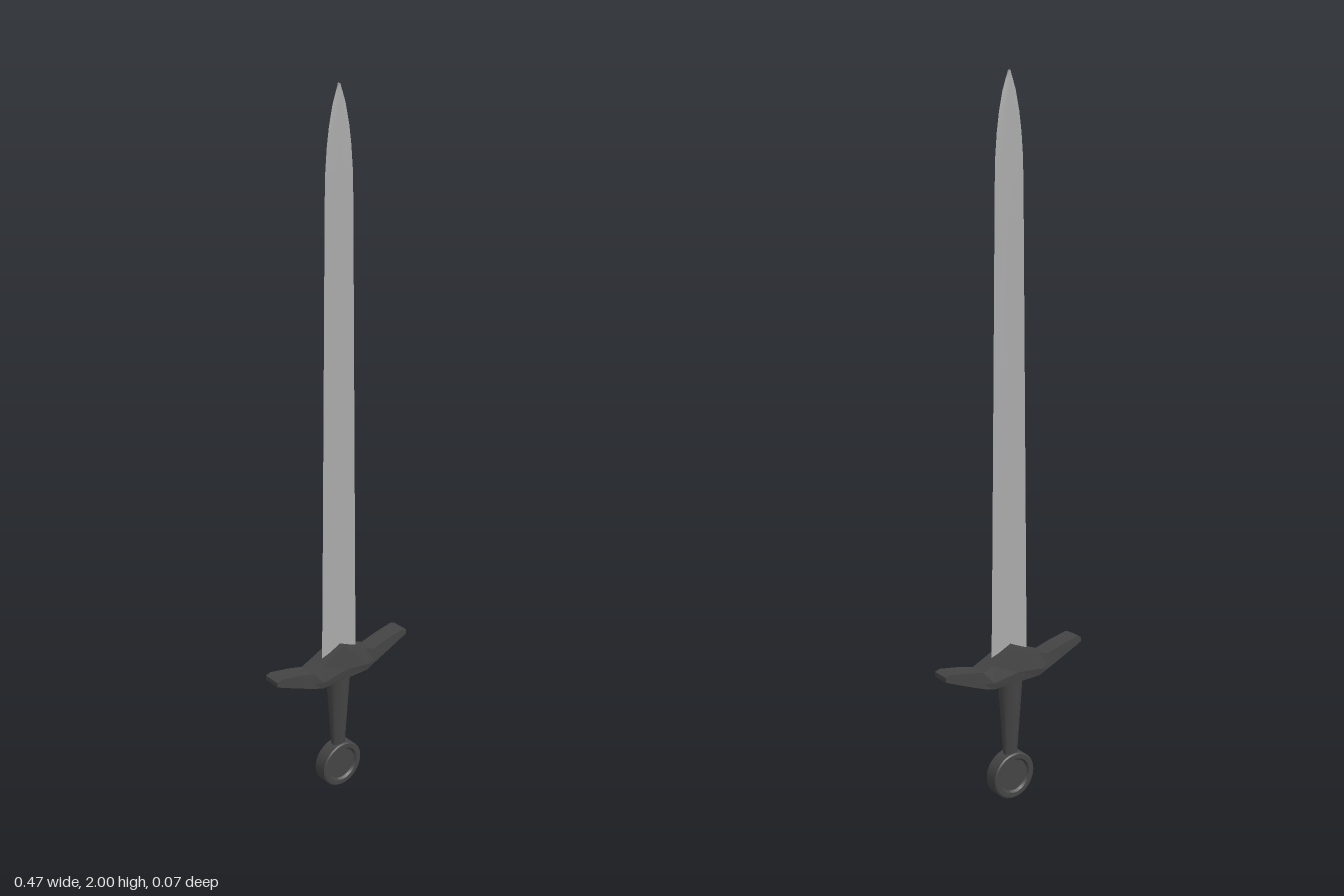
import * as THREE from 'three';
import { toCreasedNormals } from 'three/addons/utils/BufferGeometryUtils.js';

// Skin a list of equal-length rings (counter-clockwise seen along the loft) and cap both ends
function loft(rings) {
  const pos = [];
  const tri = (...p) => p.forEach(v => pos.push(...v));
  for (let r = 0; r < rings.length - 1; r++) {
    const a = rings[r], b = rings[r + 1], n = a.length;
    for (let i = 0; i < n; i++) {
      const j = (i + 1) % n;
      tri(a[i], a[j], b[j]);
      tri(a[i], b[j], b[i]);
    }
  }
  const s = rings[0], e = rings[rings.length - 1];
  for (let i = 1; i < s.length - 1; i++) {
    tri(s[0], s[i + 1], s[i]);
    tri(e[0], e[i], e[i + 1]);
  }
  const g = new THREE.BufferGeometry();
  g.setAttribute('position', new THREE.Float32BufferAttribute(pos, 3));
  g.computeVertexNormals();
  return g;
}

export function createModel() {
  const group = new THREE.Group();
  const steel = new THREE.MeshStandardMaterial({ color: 0xaaaaaa });
  const dark = new THREE.MeshStandardMaterial({ color: 0x444444 });
  const add = (name, geometry, material) => {
    const mesh = new THREE.Mesh(geometry, material);
    mesh.name = name;
    group.add(mesh);
    return mesh;
  };

  // Blade: [height, half width], thin section with bevelled edges and a shallow ridge
  const outline = [[0.4, 0.062], [0.6, 0.059], [1.2, 0.052], [1.72, 0.046], [1.79, 0.044],
    [1.85, 0.039], [1.9, 0.032], [1.95, 0.021], [1.98, 0.011], [2, 0.001]];
  const blade = loft(outline.map(([y, w]) => [
    [w, 0.004], [0.65 * w, 0], [0, -0.001], [-0.65 * w, 0],
    [-w, 0.004], [-0.65 * w, 0.008], [0, 0.009], [0.65 * w, 0.008],
  ].map(([x, z]) => [x, y, z])));
  add('blade', toCreasedNormals(blade, 0.5), steel);

  // Crossguard: [x, top, bottom, half depth at the waist], mirrored about the middle
  const half = [[0, 0.465, 0.36, 0.036], [0.08, 0.428, 0.36, 0.036], [0.11, 0.415, 0.368, 0.027],
    [0.16, 0.428, 0.388, 0.026], [0.22, 0.439, 0.414, 0.026], [0.235, 0.434, 0.421, 0.026]];
  const stations = [...half.slice(1).reverse().map(([x, ...r]) => [-x, ...r]), ...half];
  const guard = loft(stations.map(([x, top, bottom, d]) => {
    const waist = bottom + (top - bottom) * 0.3;
    const low = Math.min(d, 0.032);
    return [[top, -0.026], [top, 0.026], [waist, d], [bottom, low],
      [bottom, -low], [waist, -d]].map(([y, z]) => [x, y, z]);
  }));
  add('crossguard', guard, dark);

  // Grip: tapering, slightly flattened
  const grip = toCreasedNormals(new THREE.CylinderGeometry(0.038, 0.021, 0.25, 12), 0.6);
  grip.scale(1, 1, 0.82);
  grip.translate(0, 0.25, 0);
  add('grip', grip, dark);

  // Pommel: upright disc with a shallow recess on each face
  const rim = [[0, 0.015], [0.047, 0.015], [0.052, 0.022], [0.065, 0.022], [0.069, 0.019]];
  const profile = [...rim.map(([r, h]) => [r, -h]), ...rim.slice().reverse()]
    .map(([r, h]) => new THREE.Vector2(r, h));
  const pommel = toCreasedNormals(new THREE.LatheGeometry(profile, 32), 0.5);
  pommel.rotateX(Math.PI / 2);
  pommel.translate(0, 0.069, 0);
  add('pommel', pommel, dark);

  return group;
}
